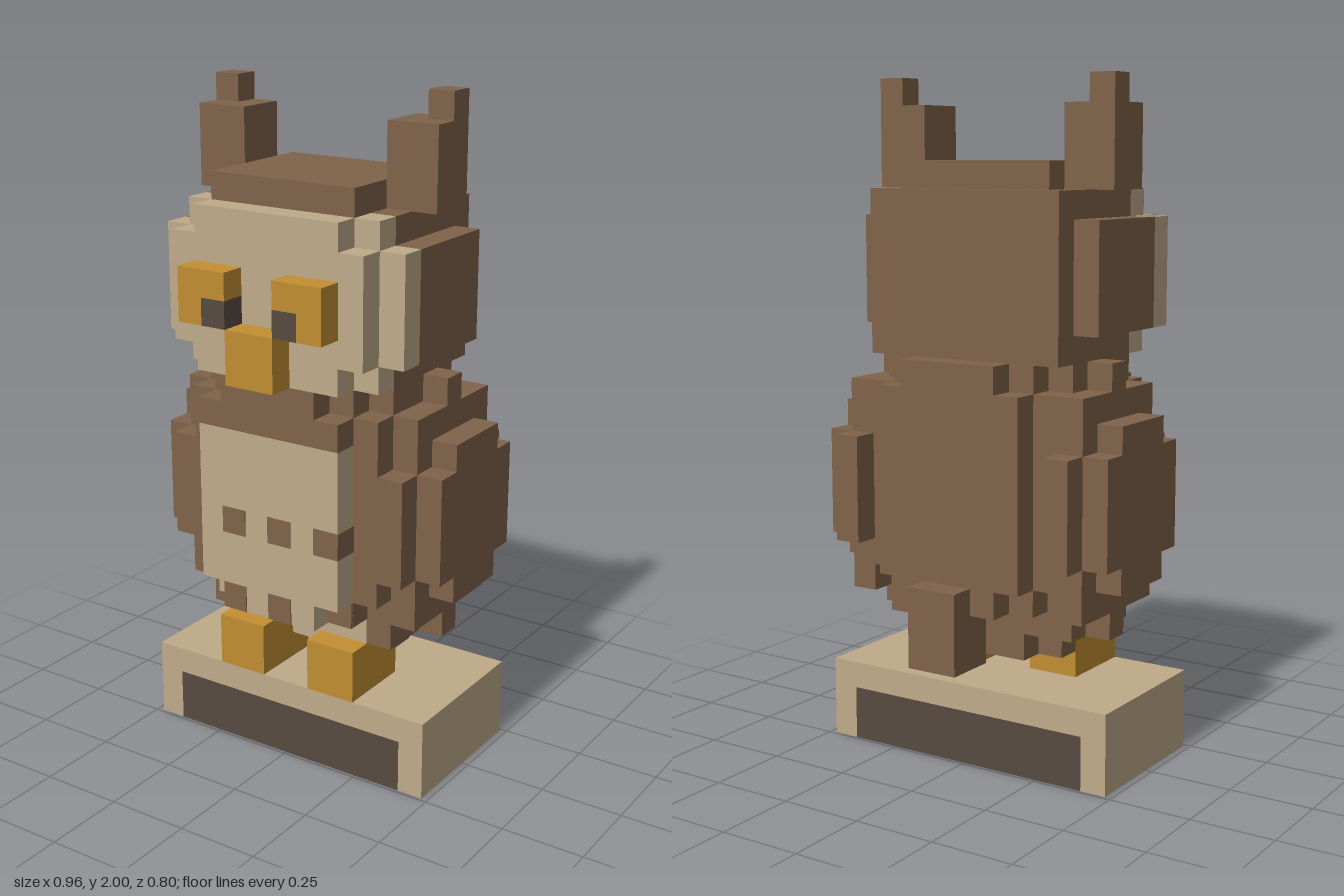
import * as THREE from 'three';

const U = 0.08; // size of one block

export function createModel() {
  const root = new THREE.Group();
  root.name = 'owl';
  const mat = (name, color) => {
    const m = new THREE.MeshStandardMaterial({ color });
    m.name = name;
    return m;
  };
  const brown = mat('brown feathers', 0x80634a);
  const tan = mat('tan feathers', 0xbfab89);
  const orange = mat('orange', 0xc28e33);
  const dark = mat('dark brown', 0x574a41);

  // Box from block bounds: x0..x1, y0..y1, z0..z1
  const box = (parent, name, m, x0, x1, y0, y1, z0, z1) => {
    const g = new THREE.BoxGeometry((x1 - x0) * U, (y1 - y0) * U, (z1 - z0) * U);
    const mesh = new THREE.Mesh(g, m);
    mesh.name = name;
    mesh.position.set((x0 + x1) / 2 * U, (y0 + y1) / 2 * U, (z0 + z1) / 2 * U);
    parent.add(mesh);
  };
  // Box centred on x with half width w
  const mid = (p, name, m, w, y0, y1, z0, z1) => box(p, name, m, -w, w, y0, y1, z0, z1);
  // The same box on both sides
  const pair = (p, name, m, x0, x1, ...r) => {
    box(p, name + 'Left', m, x0, x1, ...r);
    box(p, name + 'Right', m, -x1, -x0, ...r);
  };
  const group = (name) => {
    const g = new THREE.Group();
    g.name = name;
    root.add(g);
    return g;
  };

  // Plinth: tan shell around a dark core open to front, back and bottom
  const plinth = group('plinth');
  mid(plinth, 'plinthCore', dark, 5, 0, 2, -3, 3);
  mid(plinth, 'plinthTop', tan, 5, 2, 3, -3, 3);
  pair(plinth, 'plinthEnd', tan, 5, 6, 0, 3, -3, 3);

  // Feet
  const feet = group('feet');
  pair(feet, 'foot', orange, 1, 3, 3, 5, 0, 3);

  // Body: rounded stack of slabs [half width, y0, y1, z0, z1]
  const body = group('body');
  for (const s of [
    [3, 7, 14, -4, -3], [2, 6, 15, -4, -3],
    [4, 7, 14, -3, 3], [3, 6, 15, -3, 3],
    [4, 5, 15, -2, 2],
    [3, 4, 5, -1, 0], [2, 4, 5, -2, 0], [1, 4, 5, -2, 1],
    [3, 13, 14, 3, 4], [2, 14, 15, 3, 4],
  ]) mid(body, 'torso', brown, ...s);

  // Belly: raised panel and thin plates below it
  mid(body, 'belly', tan, 3, 7, 13, 3, 4);
  mid(body, 'bellyLower', tan, 2, 6, 7, 3, 4);
  mid(body, 'bellyEdge', tan, 3, 6, 7, 3, 3.05);
  mid(body, 'bellyBase', tan, 3, 5, 6, 2, 2.05);
  mid(body, 'bellyTip', tan, 1, 4, 5, 1, 1.05);

  // Belly spots, the outer ones wrapping around the edge
  for (const x of [-2, 0, 2]) {
    const wrap = x === 2;
    box(body, 'spot', brown, x, wrap ? 3.04 : x + 1, 9, 10, wrap ? 3 : 3.95, 4.04);
    box(body, 'spot', brown, x, x + 1, 6, 7, wrap ? 3 : 3.95, wrap ? 3.09 : 4.04);
  }

  // Wings: two stepped layers on each side
  const wings = group('wings');
  for (const [x0, y0, y1, z0, z1] of [
    [4, 8, 12, -4, 3], [4, 6, 14, -3, 2], [4, 5, 15, -1, 0],
    [5, 8, 12, -3, 2], [5, 7, 13, -2, 1],
  ]) pair(wings, 'wing', brown, x0, x0 + 1, y0, y1, z0, z1);

  // Tail
  mid(body, 'tail', brown, 1, 4, 7, -5, -3);

  // Head and face
  const head = group('head');
  mid(head, 'skull', brown, 4, 15, 21, -3, 2);
  mid(head, 'cheekBack', brown, 5, 16, 20, -2, 2);
  mid(head, 'crown', brown, 3, 21, 22, -2, 3);
  mid(head, 'faceRim', tan, 5, 16, 20, 2, 3);
  mid(head, 'faceRimTall', tan, 4, 15, 21, 2, 3);
  mid(head, 'face', tan, 4, 16, 20, 3, 4);
  mid(head, 'faceTall', tan, 3, 15, 21, 3, 4);

  // Eyes, pupils at the inner lower corners, and beak
  pair(head, 'eyeOuter', orange, 2, 3, 17, 19, 4, 5);
  pair(head, 'eyeInner', orange, 1, 2, 18, 19, 4, 5);
  pair(head, 'pupil', dark, 1, 2, 17, 18, 4, 5);
  mid(head, 'beak', orange, 1, 15, 17, 4, 5);

  // Ear tufts
  pair(head, 'ear', brown, 3, 5, 21, 24, -1, 1);
  pair(head, 'earTip', brown, 4, 5, 24, 25, -1, 0);

  return root;
}
